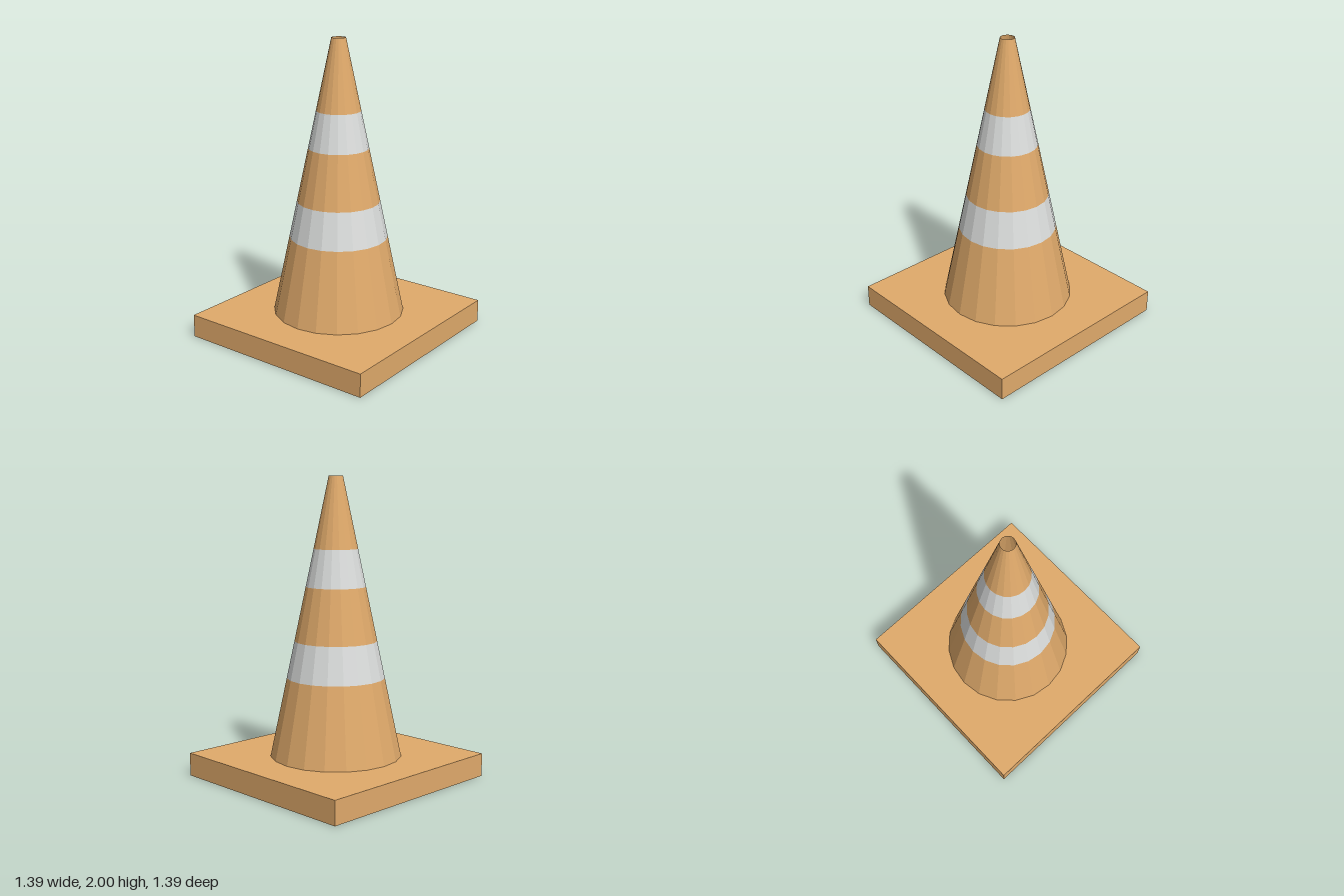
import * as THREE from 'three';

export function createModel() {
  const model = new THREE.Group();
  model.name = 'trafficCone';

  const orange = new THREE.MeshStandardMaterial({ color: 0xe0aa6b, flatShading: true, side: THREE.DoubleSide });
  orange.name = 'orange';
  const white = new THREE.MeshStandardMaterial({ color: 0xdcdedd, flatShading: true, side: THREE.DoubleSide });
  white.name = 'white';

  const baseHeight = 0.155, top = 2, bottomRadius = 0.44, topRadius = 0.047;
  const radiusAt = (y) =>
    THREE.MathUtils.mapLinear(y, baseHeight, top, bottomRadius, topRadius);

  // Square base plate
  const base = new THREE.Mesh(new THREE.BoxGeometry(1.39, baseHeight, 1.39), orange);
  base.name = 'base';
  base.position.y = baseHeight / 2;
  model.add(base);

  // Hollow 20-sided cone, open at the tip, stacked from alternating bands
  const levels = [baseHeight, 0.68, 0.925, 1.283, 1.53, top];
  const names = ['lowerCone', 'lowerStripe', 'middleCone', 'upperStripe', 'coneTip'];
  names.forEach((name, i) => {
    const y0 = levels[i], y1 = levels[i + 1];
    const band = new THREE.Mesh(
      new THREE.CylinderGeometry(radiusAt(y1), radiusAt(y0), y1 - y0, 20, 1, true),
      i % 2 ? white : orange
    );
    band.name = name;
    band.position.y = (y0 + y1) / 2;
    model.add(band);
  });

  return model;
}
